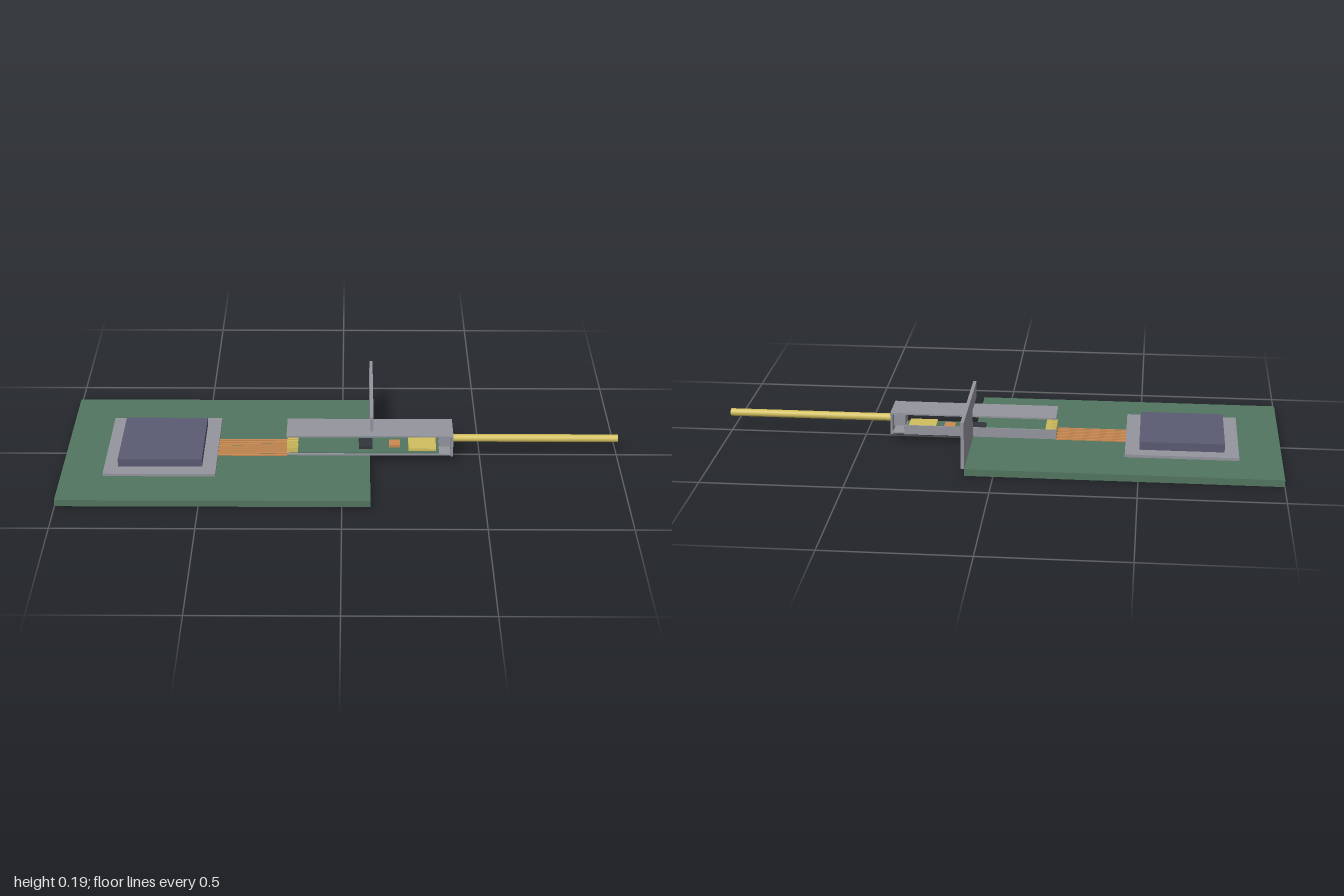
import * as THREE from 'three';

const mat = (name, color) => Object.assign(new THREE.MeshStandardMaterial({ color }), { name });

export function createModel() {
  const green = mat('board green', 0x527560);
  const grey = mat('metal grey', 0x94949e);
  const dark = mat('chip slate', 0x5a5a72);
  const black = mat('driver black', 0x34343c);
  const gold = mat('gold', 0xd2bf5e);
  const copper = mat('copper', 0xc98a52);

  const model = new THREE.Group();
  // Box given by its extents on each axis
  const box = (name, material, [x0, x1], [y0, y1], [z0, z1], parent = model) => {
    const mesh = new THREE.Mesh(new THREE.BoxGeometry(x1 - x0, y1 - y0, z1 - z0), material);
    mesh.position.set((x0 + x1) / 2, (y0 + y1) / 2, (z0 + z1) / 2);
    mesh.name = name;
    parent.add(mesh);
    return mesh;
  };

  // Circuit board and processor
  box('circuitBoard', green, [-1, 0.1], [0, 0.025], [-0.36, 0.36]);
  box('chipSubstrate', grey, [-0.85, -0.45], [0.025, 0.035], [-0.2, 0.2]);
  box('chipLid', dark, [-0.8, -0.5], [0.035, 0.065], [-0.15, 0.15]);

  // Parallel traces to the module, each ending in a gold contact
  const traces = new THREE.Group();
  traces.name = 'traces';
  model.add(traces);
  for (let i = 0; i < 8; i++) {
    const z = -0.0525 + i * 0.015;
    box('trace', copper, [-0.45, -0.2], [0.025, 0.029], [z - 0.004, z + 0.004], traces);
    box('contact', gold, [-0.2, -0.16], [0.04, 0.06], [z - 0.004, z + 0.004], traces);
  }

  // Front panel, cut away around the module
  const panel = new THREE.Shape([
    [0.36, 0.025], [0.36, 0.195], [-0.07, 0.195], [-0.07, 0.135], [0.07, 0.135], [0.07, 0.025],
  ].map(([a, b]) => new THREE.Vector2(a, b)));
  const faceplate = new THREE.Mesh(
    new THREE.ExtrudeGeometry(panel, { depth: 0.012, bevelEnabled: false }), grey);
  faceplate.rotation.y = Math.PI / 2;
  faceplate.position.x = 0.1;
  faceplate.name = 'faceplate';
  model.add(faceplate);

  // Pluggable module: floor, card, rear wall, lid and end plate
  const plug = new THREE.Group();
  plug.name = 'opticalModule';
  model.add(plug);
  box('moduleFloor', grey, [-0.2, 0.4], [0.03, 0.036], [-0.06, 0.06], plug);
  box('moduleCard', green, [-0.19, 0.35], [0.036, 0.04], [-0.055, 0.055], plug);
  box('moduleWall', grey, [-0.2, 0.35], [0.03, 0.065], [-0.065, -0.06], plug);
  box('moduleLid', grey, [-0.2, 0.4], [0.105, 0.111], [-0.065, 0.06], plug);
  box('endPlate', grey, [0.392, 0.4], [0.03, 0.111], [-0.065, 0.065], plug);
  box('driverChip', black, [0.06, 0.11], [0.04, 0.05], [-0.03, 0.03], plug);
  box('laser', copper, [0.17, 0.21], [0.04, 0.05], [-0.02, 0.02], plug);
  box('opticalBench', gold, [0.24, 0.34], [0.04, 0.05], [-0.045, 0.045], plug);
  box('ferrule', grey, [0.35, 0.392], [0.05, 0.09], [-0.03, 0.03], plug);

  // Fibre leaving the module
  const fibre = new THREE.Mesh(new THREE.CylinderGeometry(0.014, 0.014, 0.62, 24), gold);
  fibre.rotation.z = Math.PI / 2;
  fibre.position.set(0.69, 0.07, 0);
  fibre.name = 'fibre';
  model.add(fibre);

  return model;
}
